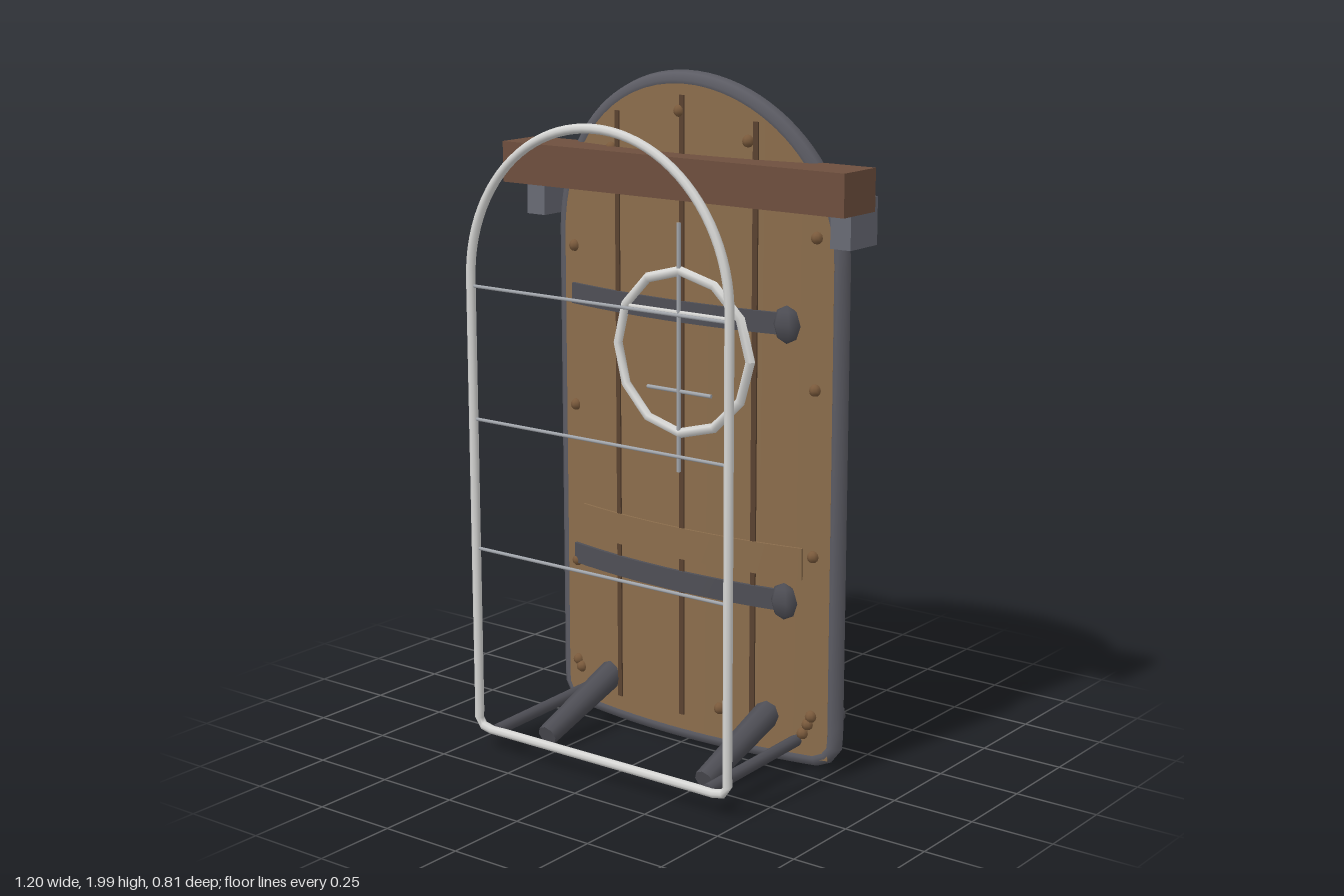
import * as THREE from 'three';

const mat = (name, color, side = THREE.FrontSide) => {
  const m = new THREE.MeshStandardMaterial({ color, side });
  m.name = name;
  return m;
};

export function createModel() {
  const model = new THREE.Group();
  const wood = mat('plankWood', 0x8b6d4c);
  const backing = mat('backing', 0x6a4f3c);
  const beamWood = mat('beamWood', 0x6e4f3e);
  const groove = mat('grooveWood', 0x5a4230);
  const rivetMat = mat('rivetBronze', 0x7a5a3c);
  const iron = mat('iron', 0x5c5c64);
  const darkIron = mat('darkIron', 0x4e4e55);
  const bracketMat = mat('bracketIron', 0x686a74);
  const steel = mat('paleSteel', 0xd6d6d4);
  const rodMat = mat('rodSteel', 0xa4a8ae);

  const add = (name, geometry, material, x = 0, y = 0, z = 0) => {
    const mesh = new THREE.Mesh(geometry, material);
    mesh.name = name;
    mesh.position.set(x, y, z);
    model.add(mesh);
    return mesh;
  };

  // Every shield surface bows backwards towards its sides
  const bow = x => -0.25 * x * x;

  // Bowed slab between x0..x1, with bottom and top given per x
  const slab = (name, x0, x1, bottom, top, front, depth, material, cols = 12) => {
    const g = new THREE.BoxGeometry(1, 1, 1, cols, 1, 1);
    const p = g.attributes.position;
    for (let i = 0; i < p.count; i++) {
      const mid = (x0 + x1) / 2, half = (x1 - x0) / 2;
      const x = mid + half * Math.sin(p.getX(i) * Math.PI);
      const y = p.getY(i) < 0 ? bottom : typeof top === 'function' ? top(x) : top;
      p.setXYZ(i, x, y, front + bow(x) + (p.getZ(i) < 0 ? -depth : 0));
    }
    g.computeVertexNormals();
    return add(name, g, material);
  };

  // Straight rod between two points
  const rod = (name, a, b, r0, r1, material, sides = 8) => {
    const from = new THREE.Vector3(...a), to = new THREE.Vector3(...b);
    const dir = to.clone().sub(from);
    const mesh = add(name, new THREE.CylinderGeometry(r1, r0, dir.length(), sides), material);
    mesh.position.copy(from).add(to).multiplyScalar(0.5);
    mesh.quaternion.setFromUnitVectors(new THREE.Vector3(0, 1, 0), dir.normalize());
    return mesh;
  };

  // Closed tube around an arched doorway outline
  const archTube = (name, w, bottom, spring, corner, r, zAt, material) => {
    const s = new THREE.Shape();
    s.moveTo(0, bottom);
    s.lineTo(w - corner, bottom);
    s.quadraticCurveTo(w, bottom, w, bottom + corner);
    s.lineTo(w, spring);
    s.absarc(0, spring, w, 0, Math.PI, false);
    s.lineTo(-w, bottom + corner);
    s.quadraticCurveTo(-w, bottom, -w + corner, bottom);
    s.lineTo(0, bottom);
    const pts = s.getSpacedPoints(110).slice(0, -1)
      .map(p => new THREE.Vector3(p.x, p.y, zAt(p.x)));
    const path = new THREE.CatmullRomCurve3(pts, true, 'centripetal');
    return add(name, new THREE.TubeGeometry(path, 160, r, 8, true), material);
  };

  // Arched board with a darker back, and its iron rim
  const boardTop = x => 1.485 + Math.sqrt(Math.max(0, 0.48 * 0.48 - x * x));
  slab('board', -0.48, 0.48, 0.035, boardTop, -0.005, 0.05,
    [wood, wood, wood, wood, wood, backing], 32);
  archTube('rim', 0.483, 0.036, 1.485, 0.06, 0.03, x => -0.032 + bow(x), iron);

  // Plank grooves
  for (const [x, top] of [[-0.245, 1.87], [0, 1.93], [0.245, 1.87]])
    slab('plankGroove', x - 0.008, x + 0.008, 0.09, top, 0, 0.01, groove, 1);

  // Hinge straps with pointed ends
  for (const y of [1.312, 0.505]) {
    slab('hingeStrap', -0.44, 0.34, y - 0.031, y + 0.031, 0.006, 0.014, darkIron);
    const tip = add('strapTip', new THREE.SphereGeometry(0.055, 6, 4), darkIron, 0.35, y, -0.024);
    tip.scale.set(0.85, 1, 0.5);
  }

  // Name-plate board
  slab('crossPlate', -0.4, 0.4, 0.573, 0.667, 0.002, 0.01, wood);

  // Rivets near the edge
  const rivets = [[-0.435, 1.455], [-0.435, 0.97], [-0.435, 0.48], [-0.435, 0.16], [-0.42, 0.14],
    [0.43, 1.56], [0.43, 1.13], [0.43, 0.645], [0.43, 0.165], [0.42, 0.14], [0.405, 0.11],
    [0.135, 0.137], [0.22, 1.815], [-0.01, 1.885], [-0.27, 1.76]];
  for (const [x, y] of rivets)
    add('rivet', new THREE.SphereGeometry(0.018, 8, 6), rivetMat, x, y, -0.005 + bow(x));

  // Ring emblem with thin cross rods
  const ring = new THREE.TorusGeometry(0.238, 0.015, 6, 12);
  const rp = ring.attributes.position;
  for (let i = 0; i < rp.count; i++) rp.setZ(i, rp.getZ(i) + 0.006 + bow(rp.getX(i)));
  ring.computeVertexNormals();
  add('ring', ring, steel, 0, 1.193, 0);
  rod('ringUpright', [0, 0.84, 0.012], [0, 1.57, 0.012], 0.006, 0.006, rodMat, 6);
  rod('ringUpperBar', [-0.18, 1.31, 0.01], [0.18, 1.31, 0.01], 0.007, 0.007, steel, 6);
  rod('ringLowerBar', [-0.115, 1.08, 0.01], [0.115, 1.08, 0.01], 0.006, 0.006, rodMat, 6);

  // Cross beam held by side brackets
  add('crossBeam', new THREE.BoxGeometry(1.2, 0.12, 0.154), beamWood, 0, 1.705, 0);
  for (const s of [1, -1]) {
    add('beamBracket', new THREE.BoxGeometry(0.066, 0.135, 0.133), bracketMat, s * 0.54, 1.612, -0.066);
    // Splayed feet and the struts that carry the front frame
    rod('frontLeg', [s * 0.29, 0.155, -0.05], [s * 0.29, 0.04, 0.277], 0.041, 0.032, darkIron);
    rod('backLeg', [s * 0.29, 0.155, -0.05], [s * 0.29, 0.036, -0.398], 0.041, 0.035, darkIron);
    rod('frameStrut', [s * 0.385, 0.085, -0.07], [s * 0.385, 0.072, 0.39], 0.018, 0.018, darkIron);
  }

  // Front wire frame with three rungs
  archTube('frontFrame', 0.453, 0.068, 1.418, 0.03, 0.0135, () => 0.391, steel);
  for (const y of [1.395, 1.007, 0.62])
    rod('frameRung', [-0.445, y, 0.391], [0.445, y, 0.391], 0.005, 0.005, rodMat, 6);

  // Grip on the back
  const grip = new THREE.CurvePath();
  const gp = [[1.115, -0.05], [1.07, -0.123], [0.955, -0.123], [0.91, -0.05]]
    .map(([y, z]) => new THREE.Vector3(0, y, z));
  for (let i = 0; i < 3; i++) grip.add(new THREE.LineCurve3(gp[i], gp[i + 1]));
  add('grip', new THREE.TubeGeometry(grip, 24, 0.021, 8), beamWood);

  return model;
}
